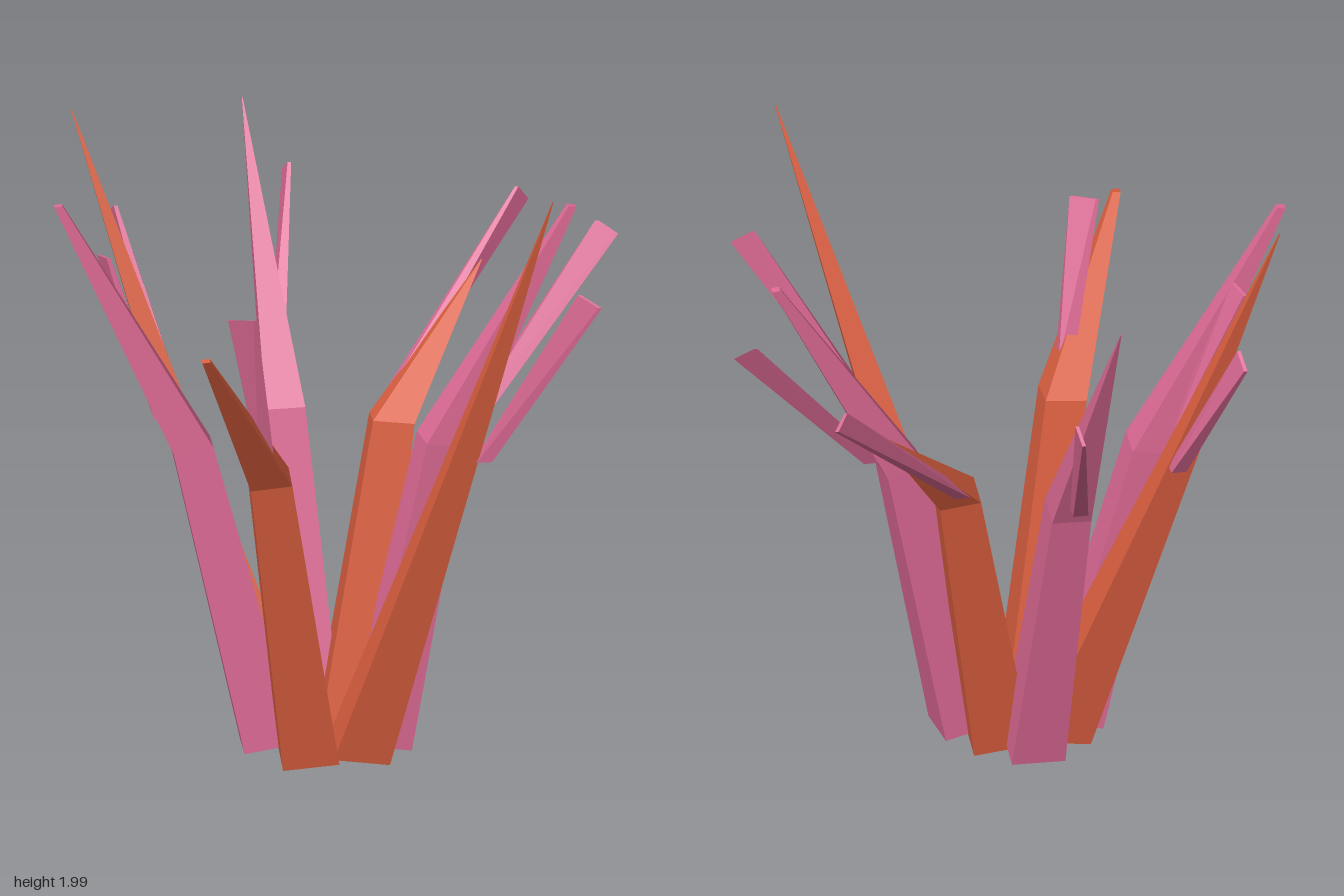
import * as THREE from 'three';
import { ConvexGeometry } from 'three/addons/geometries/ConvexGeometry.js';

const CROWN = [-0.12, 0]; // the point in plan that the stalks grow away from

// Four-cornered cross-section, tipped slightly outward like the stalk it belongs to
function ring([x, y, z, r], turn) {
  const d = new THREE.Vector2(x - CROWN[0], z - CROWN[1]).normalize();
  return [0, 1, 2, 3].map((i) => {
    const a = turn + (i * Math.PI) / 2;
    const c = Math.cos(a) * r, s = Math.sin(a) * r;
    return [x + c, y - 0.17 * (c * d.x + s * d.y), z + s];
  });
}

// Lofts a closed four-sided stalk through its cross-sections
function stalkGeometry(sections, turn = 0) {
  const rings = sections.map((s) => ring(s, turn));
  const pos = [];
  const tri = (...p) => p.forEach((v) => pos.push(...v));
  const quad = (a, b, c, d) => { tri(a, b, c); tri(a, c, d); };
  for (let k = 0; k < rings.length - 1; k++) {
    const lo = rings[k], hi = rings[k + 1];
    for (let i = 0; i < 4; i++) {
      const j = (i + 1) % 4;
      quad(lo[i], hi[i], hi[j], lo[j]);
    }
  }
  quad(...rings[0]);
  quad(...rings[rings.length - 1].slice().reverse());
  const g = new THREE.BufferGeometry();
  g.setAttribute('position', new THREE.Float32BufferAttribute(pos, 3));
  g.computeVertexNormals();
  return g;
}

// Thin blade: a small diamond at the root, a chisel edge a-b at the end
function shootGeometry([x, y, z], a, b) {
  const r = 0.034, t = 0.004;
  const pts = [[x + r, y, z], [x - r, y, z], [x, y, z + r], [x, y, z - r]];
  for (const [ex, ey, ez] of [a, b]) pts.push([ex - t, ey, ez - t], [ex + t, ey, ez + t]);
  return new ConvexGeometry(pts.map((p) => new THREE.Vector3(...p)));
}

export function createModel() {
  const group = new THREE.Group();
  const orange = new THREE.MeshStandardMaterial({ color: 0xdd6040 });
  orange.name = 'orange';
  const pink = new THREE.MeshStandardMaterial({ color: 0xde6a95 });
  pink.name = 'pink';

  const add = (name, geometry, material) => {
    const mesh = new THREE.Mesh(geometry, material);
    mesh.name = name;
    group.add(mesh);
  };

  // Stalks: sections are [x, y, z, radius] from root to tip
  const stalks = [
    ['frontStalk', orange, [[-0.115, 0.022, 0.13, 0.125], [-0.058, 1.985, 0.87, 0.002]]],
    ['backStalk', orange, [[-0.14, 0.022, -0.15, 0.125], [-0.318, 1.975, -0.87, 0.002]]],
    ['rightStalk', orange, [[-0.248, 0.022, 0.035, 0.125], [-0.475, 1.0, 0.065, 0.092], [-0.877, 1.515, 0.14, 0.018]]],
    ['leftStalk', orange, [[-0.005, 0.022, -0.015, 0.13], [0.22, 1.0, -0.015, 0.092], [0.642, 1.418, 0, 0.002]]],
    ['backRightStalk', pink, [[-0.23, 0.025, -0.14, 0.12], [-0.38, 1.0, -0.33, 0.088], [-0.685, 1.81, -0.62, 0.018]]],
    ['backLeftStalk', pink, [[0, 0.025, -0.155, 0.12], [0.1, 1.0, -0.355, 0.088], [0.337, 1.875, -0.72, 0.002]]],
    ['frontLeftStalk', pink, [[0, 0.025, 0.115, 0.12], [0.165, 1.0, 0.235, 0.092], [0.522, 1.73, 0.465, 0.018]], -0.15],
  ];
  for (const [name, material, sections, turn] of stalks) {
    add(name, stalkGeometry(sections, turn), material);
  }

  // Side shoots: root, then the two corners of the end edge
  const shoots = [
    ['frontShoot', [-0.06, 1.07, 0.59], [0.155, 1.58, 0.885], [0.12, 1.62, 0.83]],
    ['backShoot', [-0.19, 1.08, -0.57], [-0.11, 1.58, -0.885], [-0.145, 1.62, -0.835]],
    ['rightShoot', [-0.53, 1.09, 0.095], [-0.695, 1.59, 0.085], [-0.66, 1.595, 0.16]],
    ['leftShoot', [0.27, 1.04, -0.065], [0.88, 1.55, -0.015], [0.84, 1.6, -0.022]],
    ['backRightShoot', [-0.41, 1.08, -0.43], [-0.505, 1.6, -0.565], [-0.475, 1.59, -0.63]],
    ['backLeftShoot', [0.19, 1.07, -0.46], [0.553, 1.58, -0.73], [0.52, 1.62, -0.68]],
    ['frontLeftShoot', [0.27, 1.05, 0.28], [0.735, 1.58, 0.47], [0.705, 1.62, 0.415]],
  ];
  for (const [name, ...points] of shoots) add(name, shootGeometry(...points), pink);

  return group;
}
